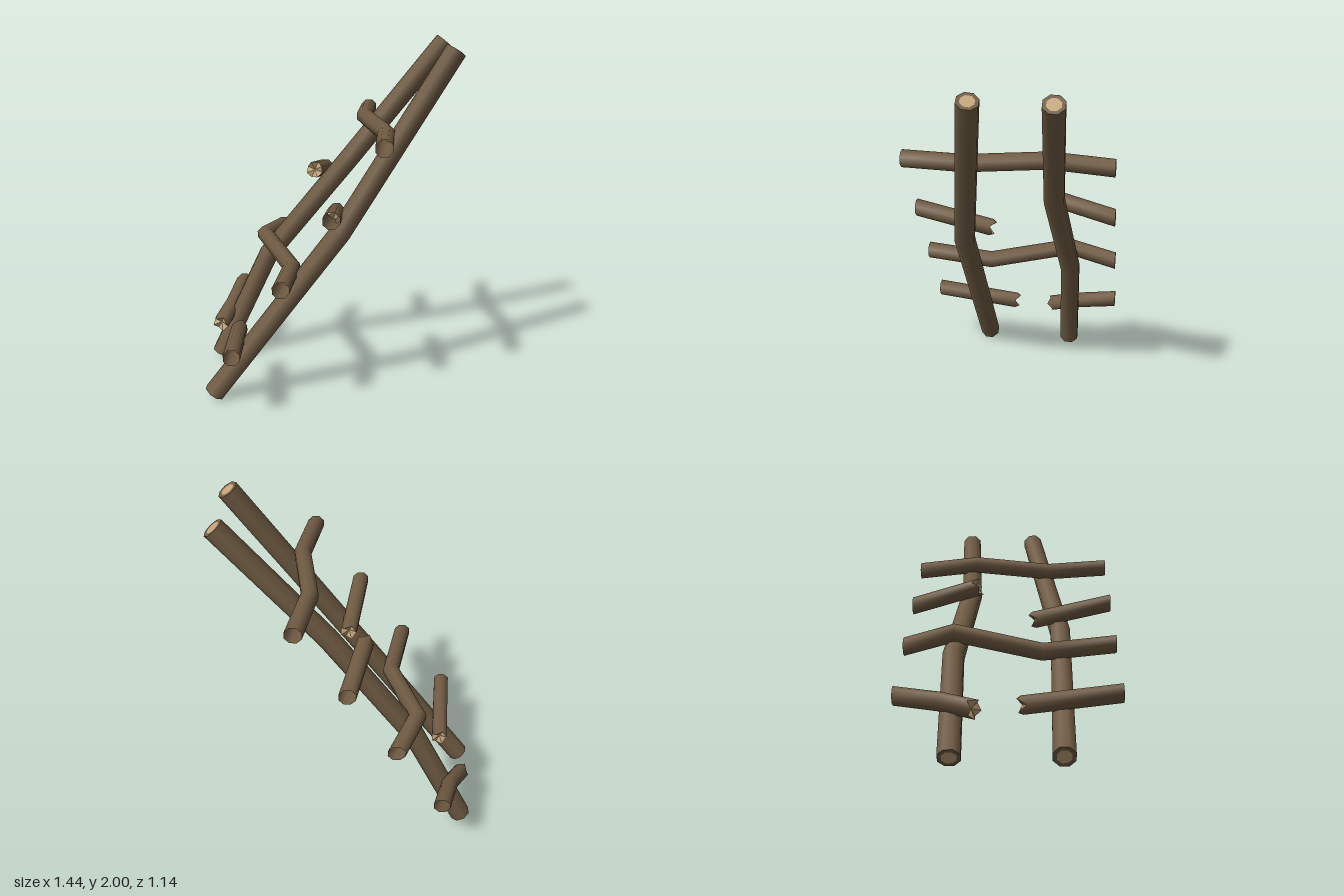
import * as THREE from 'three';

const SIDES = 8;
const V = (p) => new THREE.Vector3(...p);

// Rings of a mitred pole along a path; flatStart / flatEnd cut that end square to z
function poleRings(path, radius, flatStart, flatEnd) {
  const pts = path.map(V);
  const last = pts.length - 1;
  const zAxis = new THREE.Vector3(0, 0, 1);
  const dirs = pts.slice(1).map((p, i) => p.clone().sub(pts[i]).normalize());
  return pts.map((p, i) => {
    const d = dirs[Math.min(i, last - 1)];
    let n = i > 0 && i < last ? dirs[i - 1].clone().add(d) : d.clone();
    if ((i === 0 && flatStart) || (i === last && flatEnd)) n = zAxis;
    // reference direction chosen so that the frame does not twist
    const ref = Math.abs(d.z) > 0.7 ? new THREE.Vector3(1, 0, 0) : zAxis;
    const u = ref.clone().addScaledVector(d, -ref.dot(d)).normalize();
    const v = d.clone().cross(u);
    return Array.from({ length: SIDES }, (_, j) => {
      const a = ((j + 0.5) / SIDES) * Math.PI * 2;
      const o = u.clone().multiplyScalar(Math.cos(a) * radius).addScaledVector(v, Math.sin(a) * radius);
      return o.addScaledVector(d, -o.dot(n) / d.dot(n)).add(p);
    });
  });
}

// Surface joining successive rings
function skin(rings) {
  const g = new THREE.BufferGeometry().setFromPoints(rings.flat());
  const index = [];
  for (let i = 0; i < rings.length - 1; i++) {
    for (let j = 0; j < SIDES; j++) {
      const k = (j + 1) % SIDES;
      const a = i * SIDES + j, b = i * SIDES + k, c = a + SIDES, d = b + SIDES;
      index.push(a, b, c, b, d, c);
    }
  }
  g.setIndex(index);
  g.computeVertexNormals();
  return g;
}

// Faceted fan closing a ring
function fan(ring, centre, reverse) {
  const pts = [];
  ring.forEach((p, j) => {
    const q = ring[(j + 1) % SIDES];
    pts.push(centre, reverse ? q : p, reverse ? p : q);
  });
  const g = new THREE.BufferGeometry().setFromPoints(pts);
  g.computeVertexNormals();
  return g;
}

export function createModel() {
  const group = new THREE.Group();
  const bark = new THREE.MeshStandardMaterial({ color: 0x705b43, side: THREE.DoubleSide });
  bark.name = 'bark';
  const wood = new THREE.MeshStandardMaterial({ color: 0xc2a478, side: THREE.DoubleSide });
  wood.name = 'cutWood';

  const add = (parent, name, geometry, material) => {
    const mesh = new THREE.Mesh(geometry, material);
    mesh.name = name;
    parent.add(mesh);
  };
  const part = (name) => {
    const g = new THREE.Group();
    g.name = name;
    group.add(g);
    return g;
  };

  // Two leaning rails, sawn ends with a bark rim around a pale core
  const rails = {
    frontRail: [[-0.67, 0.036, 0.268], [0.05, 1.0, 0.28], [0.67, 1.964, 0.122]],
    backRail: [[-0.67, 0.036, -0.27], [-0.365, 0.68, -0.292], [0.12, 1.29, -0.238], [0.67, 1.964, -0.288]],
  };
  for (const [name, path] of Object.entries(rails)) {
    const rail = part(name);
    const rings = poleRings(path, 0.06);
    add(rail, 'railBark', skin(rings), bark);
    [0, path.length - 1].forEach((i) => {
      const centre = V(path[i]);
      const core = rings[i].map((p) => centre.clone().lerp(p, 0.66));
      const rim = i === 0 ? [core, rings[i]] : [rings[i], core];
      add(rail, 'railEndRim', skin(rim), bark);
      add(rail, 'railEndCore', fan(core, centre, i === 0), wood);
    });
  }

  // Whole rungs, bent where they cross the rails, with hollow ends
  const rungs = {
    topRung: [[0.257, 1.535, 0.57], [0.297, 1.537, 0.22], [0.21, 1.545, -0.22], [0.257, 1.535, -0.57]],
    lowerRung: [[-0.272, 0.78, 0.57], [-0.217, 0.765, 0.175], [-0.382, 0.808, -0.29], [-0.275, 0.78, -0.57]],
  };
  for (const [name, path] of Object.entries(rungs)) {
    add(part(name), 'rungBark', skin(poleRings(path, 0.048, true, true)), bark);
  }

  // Snapped rungs: hollow outer end, splintered inner end
  const jag = [0.012, -0.012, 0.014, -0.03, 0.01, -0.008, 0.016, -0.01];
  const stubs = {
    upperFrontStub: [[-0.008, 1.158, 0.57], [0.034, 1.075, 0.12]],
    upperBackStub: [[-0.01, 1.157, -0.57], [-0.083, 1.236, -0.185]],
    bottomFrontStub: [[-0.54, 0.397, 0.57], [-0.53, 0.343, 0.06]],
    bottomBackStub: [[-0.54, 0.397, -0.57], [-0.59, 0.345, -0.33], [-0.662, 0.277, -0.155]],
  };
  for (const [name, path] of Object.entries(stubs)) {
    const stub = part(name);
    const rings = poleRings(path, 0.048, true, false);
    const tip = V(path.at(-1));
    const dir = tip.clone().sub(V(path.at(-2))).normalize();
    const end = rings.at(-1);
    end.forEach((p, j) => p.addScaledVector(dir, jag[j]));
    add(stub, 'stubBark', skin(rings), bark);
    add(stub, 'splinteredEnd', fan(end, tip.addScaledVector(dir, -0.02)), wood);
  }

  return group;
}
